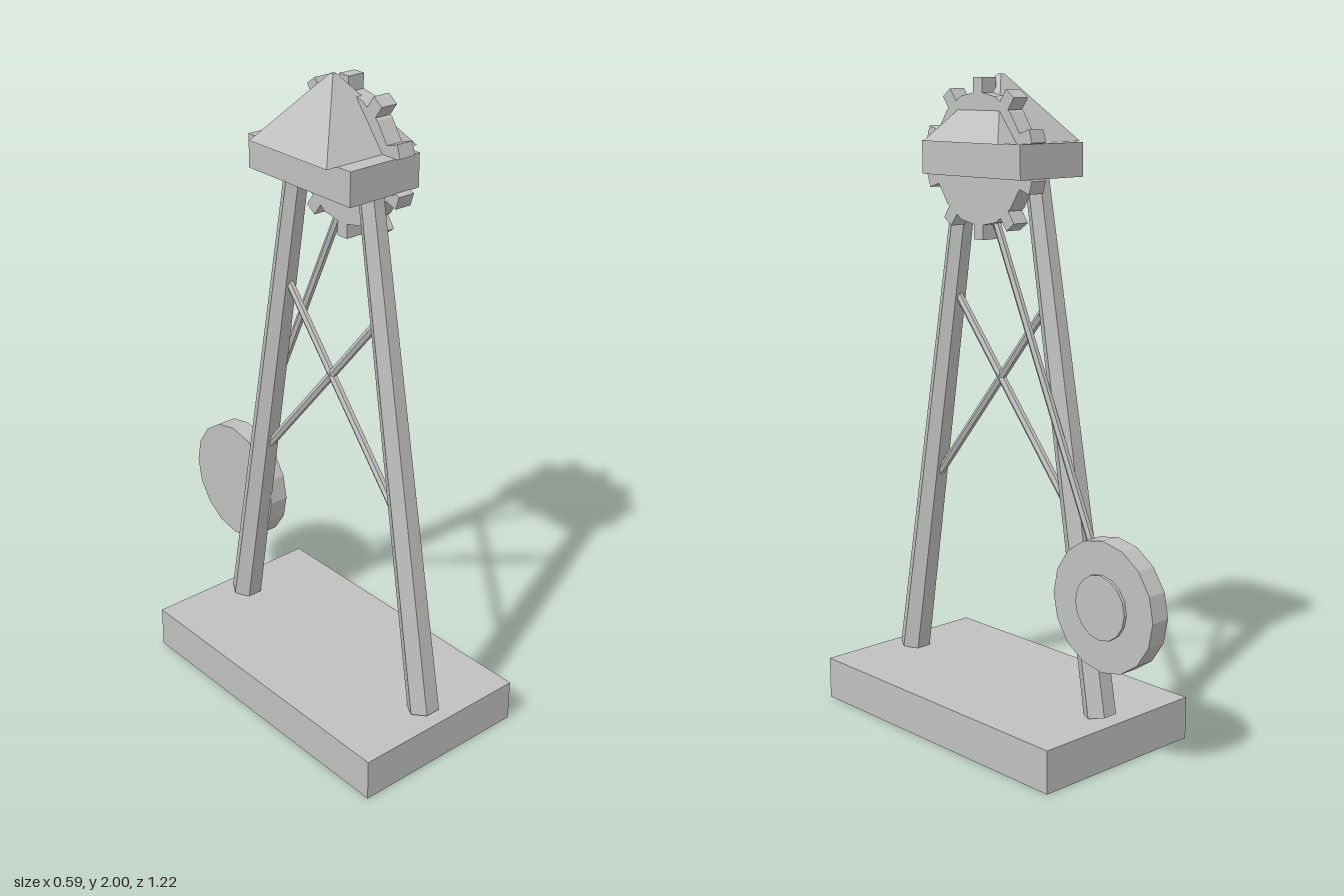
import * as THREE from 'three';

const CZ = 0.1; // tower centre line in z

export function createModel() {
  const model = new THREE.Group();
  model.name = 'gearTower';
  const grey = new THREE.MeshStandardMaterial({ color: 0xc0c0c0, flatShading: true });
  grey.name = 'grey';

  const add = (name, geometry, x, y, z, parent = model) => {
    const mesh = new THREE.Mesh(geometry, grey);
    mesh.name = name;
    mesh.position.set(x, y, z);
    parent.add(mesh);
    return mesh;
  };

  // Six-sided bar between two points, with its corners towards +x and -x
  const bar = (name, from, to, r0, r1) => {
    const a = new THREE.Vector3(...from), b = new THREE.Vector3(...to);
    const dir = b.clone().sub(a);
    const geometry = new THREE.CylinderGeometry(r1, r0, dir.length(), 6).rotateY(Math.PI / 2);
    const mid = a.add(b).multiplyScalar(0.5);
    const mesh = add(name, geometry, mid.x, mid.y, mid.z);
    mesh.quaternion.setFromUnitVectors(new THREE.Vector3(0, 1, 0), dir.normalize());
  };

  // Disc whose axis runs along x
  const disc = (r, width, sides) => new THREE.CylinderGeometry(r, r, width, sides).rotateZ(Math.PI / 2);

  // Base slab
  add('base', new THREE.BoxGeometry(0.59, 0.132, 1.02), 0, 0.066, CZ);

  // Leaning legs and crossed braces
  for (const s of [1, -1]) {
    const side = s > 0 ? 'front' : 'back';
    bar(side + 'Leg', [0, 0.135, CZ + s * 0.43], [0, 1.73, CZ + s * 0.15], 0.05, 0.037);
    bar(side + 'Brace', [0, 1.355, CZ + s * 0.215], [0, 0.72, CZ - s * 0.315], 0.013, 0.013);
  }

  // Head block and pyramid roof
  add('headBlock', new THREE.BoxGeometry(0.25, 0.1, 0.43), 0, 1.755, 0.097);
  add('roof', new THREE.CylinderGeometry(0.009, 0.231, 0.195, 4).rotateY(Math.PI / 4), 0, 1.9025, 0.097);

  // Gear with ten teeth
  const gear = new THREE.Group();
  gear.name = 'gear';
  gear.position.set(0.063, 1.755, CZ);
  model.add(gear);
  add('gearDisc', disc(0.195, 0.055, 16), 0, 0, 0, gear);
  for (let i = 0; i < 10; i++) {
    const tooth = new THREE.BoxGeometry(0.055, 0.065, 0.04).translate(0, 0.2025, 0);
    add('gearTooth', tooth, 0, 0, 0, gear).rotation.x = (i / 10) * Math.PI * 2;
  }

  // Swinging weight on its rod
  bar('pendulumRod', [0.0485, 0.51, -0.412], [0.0485, 1.645, 0.1], 0.0125, 0.0125);
  add('pendulumDisc', disc(0.197, 0.063, 16), 0.05, 0.507, -0.412);
  add('pendulumHub', disc(0.097, 0.04, 16), 0.0715, 0.507, -0.412);

  return model;
}
